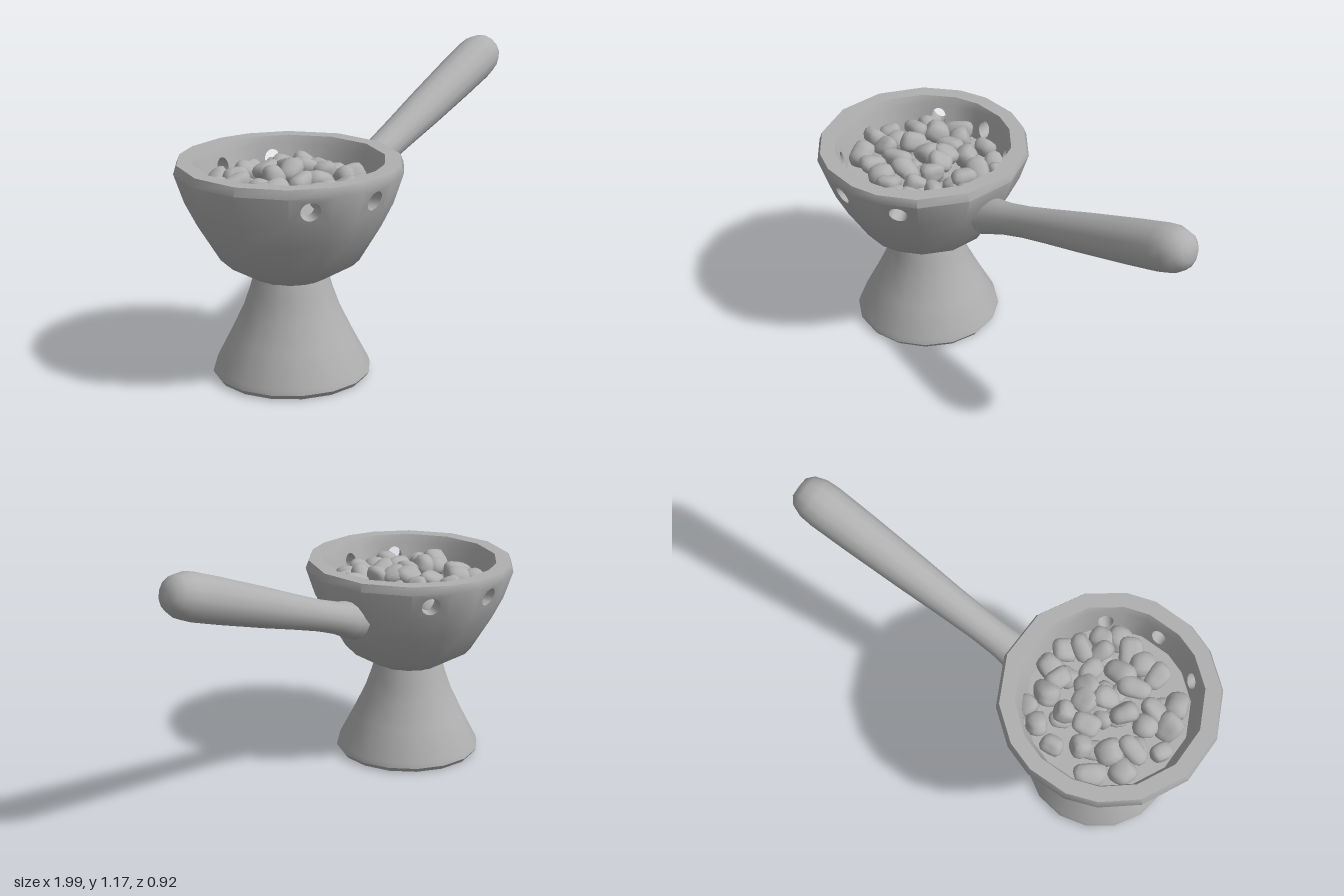
import * as THREE from 'three';
import { mergeGeometries, mergeVertices, toCreasedNormals } from 'three/addons/utils/BufferGeometryUtils.js';

const CX = -0.535; // axis of bowl and foot
const rad = THREE.MathUtils.degToRad;
const lerp = THREE.MathUtils.lerp;

// small seeded generator
function seeded(seed) {
  return () => {
    seed = (seed * 1664525 + 1013904223) % 4294967296;
    return seed / 4294967296;
  };
}

// bowl section as [radius, height]: up the outside, over the rim, down to the inner floor
const section = [
  [0.15, 0.42], [0.285, 0.5], [0.375, 0.65], [0.425, 0.75], [0.465, 0.87],
  [0.452, 0.905], [0.388, 0.905], [0.375, 0.87], [0.345, 0.75], [0, 0.745],
];
const OUTER_BAND = 3, INNER_BAND = 7; // section pieces pierced by the holes

// facets round the bowl; a facet with a hole is centred on that hole
function bowlFacets() {
  const holes = [-127, -88, -49, 56, 94, 132], half = 11, facets = [];
  holes.forEach((h, i) => {
    facets.push([h - half, h + half, true]);
    const from = h + half;
    const to = (i < 5 ? holes[i + 1] : holes[0] + 360) - half;
    const n = Math.ceil((to - from) / 28);
    for (let k = 0; k < n; k++) {
      facets.push([lerp(from, to, k / n), lerp(from, to, (k + 1) / n), false]);
    }
  });
  return facets;
}

function ringPoint(deg, r, y) {
  return new THREE.Vector3(r * Math.cos(rad(deg)), y, r * Math.sin(rad(deg)));
}

// wall block with a round hole, bent onto the flat facet between two angles
function piercedWall(a0, a1) {
  const shape = new THREE.Shape();
  shape.moveTo(0, 0.75).lineTo(1, 0.75).lineTo(1, 0.87).lineTo(0, 0.87).closePath();
  const hole = new THREE.Path();
  hole.absellipse(0.5, 0.812, 0.237, 0.04, 0, Math.PI * 2, true);
  shape.holes.push(hole);
  const geo = new THREE.ExtrudeGeometry(shape, { depth: 1, bevelEnabled: false, curveSegments: 10 });
  const p = geo.attributes.position;
  for (let i = 0; i < p.count; i++) {
    const f = p.getX(i), y = p.getY(i), t = (y - 0.75) / 0.12;
    const r = lerp(lerp(0.345, 0.375, t), lerp(0.425, 0.465, t), p.getZ(i));
    const v = ringPoint(a1, r, y).lerp(ringPoint(a0, r, y), f);
    p.setXYZ(i, v.x, v.y, v.z);
  }
  const out = new THREE.BufferGeometry();
  out.setAttribute('position', p);
  return out;
}

function bowlGeometry() {
  const verts = [], parts = [];
  for (const [a0, a1, pierced] of bowlFacets()) {
    for (let i = 0; i < section.length - 1; i++) {
      if (pierced && (i === OUTER_BAND || i === INNER_BAND)) continue;
      const [r0, y0] = section[i], [r1, y1] = section[i + 1];
      const A = ringPoint(a0, r0, y0), B = ringPoint(a0, r1, y1);
      const C = ringPoint(a1, r0, y0), D = ringPoint(a1, r1, y1);
      const corners = r1 === 0 ? [A, B, C] : [A, B, C, C, B, D];
      corners.forEach((v) => verts.push(v.x, v.y, v.z));
    }
    if (pierced) parts.push(piercedWall(a0, a1));
  }
  const plain = new THREE.BufferGeometry();
  plain.setAttribute('position', new THREE.Float32BufferAttribute(verts, 3));
  return toCreasedNormals(mergeGeometries([plain, ...parts]), 0.75);
}

function lathe(points, sides, crease) {
  const geo = new THREE.LatheGeometry(points.map(([r, y]) => new THREE.Vector2(r, y)), sides);
  return toCreasedNormals(geo, crease);
}

// lumpy rounded block
function pebbleGeometry(rand) {
  let geo = new THREE.IcosahedronGeometry(1, 2);
  geo.deleteAttribute('uv');
  geo.deleteAttribute('normal');
  geo = mergeVertices(geo, 1e-4);
  const p = geo.attributes.position, v = new THREE.Vector3();
  const a = rand() * 6, b = rand() * 6, c = rand() * 6;
  for (let i = 0; i < p.count; i++) {
    v.fromBufferAttribute(p, i);
    const block = Math.pow(v.x ** 4 + v.y ** 4 + v.z ** 4, -0.17);
    const lump = 1 + 0.1 * Math.sin(2.6 * v.x + a) + 0.1 * Math.sin(2.8 * v.y + b) + 0.1 * Math.sin(2.4 * v.z + c);
    v.multiplyScalar(block * lump * 0.9);
    p.setXYZ(i, v.x, v.y, v.z);
  }
  geo.computeVertexNormals();
  return geo;
}

// pebble places in the bowl, [x, z] from its axis
const pebblePlaces = [
  [-0.09, -0.3], [-0.2, -0.22], [-0.01, -0.22], [0.1, -0.27], [0.2, -0.235], [0.28, -0.18],
  [-0.11, -0.19], [-0.19, -0.12], [-0.29, -0.06], [0.025, -0.14], [0.12, -0.13], [0.245, -0.11],
  [0.08, -0.06], [-0.08, -0.02], [0.015, 0], [0.11, 0], [0.225, -0.03], [0.295, 0.01],
  [-0.17, 0.07], [-0.06, 0.1], [0.03, 0.13], [0.13, 0.065], [0.22, 0.14], [-0.235, 0.15],
  [-0.115, 0.195], [-0.03, 0.22], [0.035, 0.235], [0.11, 0.26], [0.17, 0.23], [0.275, 0.1],
  [0.14, 0.165], [-0.265, 0.04], [-0.18, -0.01],
];

function buildPebbles(material) {
  const group = new THREE.Group();
  group.name = 'pebbles';
  const rand = seeded(7);
  const add = (x, y, z, s) => {
    const m = new THREE.Mesh(pebbleGeometry(rand), material);
    m.name = 'pebble';
    m.position.set(x, y, z);
    m.scale.set(s * (0.95 + rand() * 0.3), s * 0.8, s * (0.85 + rand() * 0.2));
    m.rotation.set(rand() - 0.5, rand() * 6.28, rand() - 0.5);
    group.add(m);
  };
  // heaped top layer
  for (const [x, z] of pebblePlaces) {
    const d = Math.hypot(x, z) / 0.32;
    add(x, 0.85 - 0.065 * d * d + (rand() - 0.5) * 0.02, z, 0.049 + rand() * 0.012);
  }
  // hidden layer carrying the heap
  for (let i = 0; i < 14; i++) {
    const r = 0.06 + 0.15 * (i % 2), a = i * 0.9;
    add(r * Math.cos(a), 0.775, r * Math.sin(a), 0.05);
  }
  group.position.x = CX;
  return group;
}

export function createModel() {
  const model = new THREE.Group();
  model.name = 'handledBurner';
  const clay = new THREE.MeshStandardMaterial({ color: 0xb0b0b0 });
  clay.name = 'greyClay';

  const add = (geo, name) => {
    const m = new THREE.Mesh(geo, clay);
    m.name = name;
    model.add(m);
    return m;
  };

  add(bowlGeometry(), 'bowl').position.x = CX;

  // flared foot
  const foot = lathe([
    [0, 0], [0.31, 0], [0.325, 0.02], [0.318, 0.042], [0.25, 0.175],
    [0.2, 0.28], [0.172, 0.36], [0.152, 0.43], [0, 0.43],
  ], 16, 0.8);
  add(foot, 'foot').position.x = CX;

  // handle, thicker toward its rounded tip
  const handle = add(lathe([
    [0, 0.06], [0.085, 0.06], [0.08, 0.11], [0.07, 0.2], [0.068, 0.32], [0.074, 0.48], [0.084, 0.68],
    [0.094, 0.95], [0.098, 1.12], [0.094, 1.18], [0.075, 1.23], [0.045, 1.255], [0, 1.258],
  ], 14, 0.9), 'handle');
  handle.position.set(-0.2, 0.69, 0);
  handle.rotation.z = Math.atan2(0.42, 1.185) - Math.PI / 2;

  model.add(buildPebbles(clay));
  return model;
}
